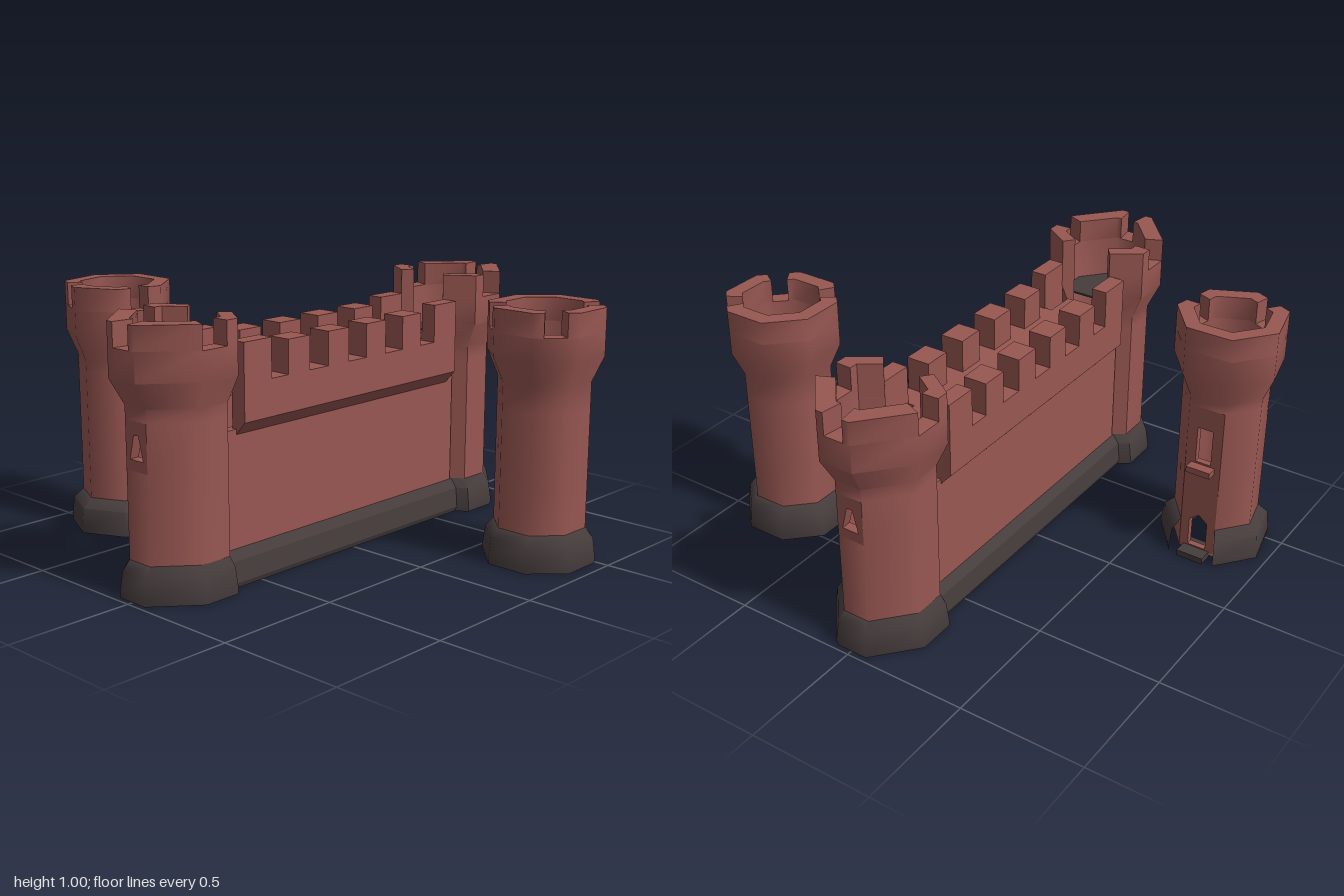
import * as THREE from 'three';
import { toCreasedNormals } from 'three/addons/utils/BufferGeometryUtils.js';

const red = new THREE.MeshStandardMaterial({ color: 0x985752 });
red.name = 'red stone';
const dark = new THREE.MeshStandardMaterial({ color: 0x463c3c });
dark.name = 'dark stone';

function add(parent, name, geometry, material) {
  const mesh = new THREE.Mesh(geometry, material);
  mesh.name = name;
  parent.add(mesh);
  return mesh;
}

// Sweeps a closed profile of [scale, y] around a plan of [x, z] points.
function sweep(plan, profile, closed, skip = () => false) {
  const pos = [], n = plan.length, m = profile.length;
  const put = (i, j) => {
    const p = plan[i % n], q = profile[j % m];
    pos.push(p[0] * q[0], q[1], p[1] * q[0]);
  };
  for (let i = 0; i < (closed ? n : n - 1); i++) {
    for (let j = 0; j < m; j++) {
      if (skip(i, j)) continue;
      put(i, j); put(i + 1, j); put(i + 1, j + 1);
      put(i, j); put(i + 1, j + 1); put(i, j + 1);
    }
  }
  if (!closed) {
    const contour = profile.map(q => new THREE.Vector2(q[0], q[1]));
    for (const [a, b, c] of THREE.ShapeUtils.triangulateShape(contour, [])) {
      put(0, a); put(0, b); put(0, c);
      put(n - 1, a); put(n - 1, c); put(n - 1, b);
    }
  }
  const g = new THREE.BufferGeometry();
  g.setAttribute('position', new THREE.Float32BufferAttribute(pos, 3));
  return toCreasedNormals(g, 0.95);
}

// Piece of a plan between two fractional corner numbers.
function run(plan, from, to) {
  const at = t => {
    const i = Math.floor(t), f = t - i, n = plan.length;
    const a = plan[i % n], b = plan[(i + 1) % n];
    return [a[0] + (b[0] - a[0]) * f, a[1] + (b[1] - a[1]) * f];
  };
  const out = [at(from)];
  for (let i = Math.floor(from) + 1; i < to; i++) out.push(at(i));
  out.push(at(to));
  return out;
}

function shapeOf(points) {
  return new THREE.Shape(points.map(p => new THREE.Vector2(p[0], p[1])));
}

function prism(points, z0, z1, holes = []) {
  const shape = shapeOf(points);
  for (const h of holes) shape.holes.push(new THREE.Path(h.map(p => new THREE.Vector2(p[0], p[1]))));
  const g = new THREE.ExtrudeGeometry(shape, { depth: z1 - z0, bevelEnabled: false });
  return g.translate(0, 0, z0);
}

function tower(name, o) {
  const g = new THREE.Group();
  g.name = name;
  const { plan, closed, face, foot, top } = o;
  const [p0, p1] = o.panel;
  const rim = top - 0.09;
  // Hollow shaft with a flared head
  add(g, 'shaft', sweep(plan, [
    [0.8, 0.01], [0.8, p0], [0.8, p1], [0.8, 0.7], [1, 0.8], [1, rim],
    [0.7, rim], [0.7, 0.74], [0.66, 0.7], [0.66, p1], [0.66, p0], [0.66, 0.01],
  ], closed, (i, j) => o.holes && i === face && (j === 1 || j === 9)), red);
  // Pierced wall panel
  if (o.holes) {
    const w = plan[face + 1][0] * 0.8, z = plan[face][1];
    add(g, 'windowPanel', prism([[-w, p0], [w, p0], [w, p1], [-w, p1]], z * 0.66, z * 0.8, o.holes), red);
  }
  // Dark footing
  add(g, 'footing', sweep(plan, [
    [0.64, 0], [foot - 0.01, 0], [foot, 0.02], [foot - 0.05, 0.1], [0.8, 0.137], [0.64, 0.137],
  ], closed, i => o.door && i === face), dark);
  // Battlements
  for (const [a, b] of o.merlons) {
    add(g, 'merlon', sweep(run(plan, a, b),
      [[1, rim - 0.002], [1, top], [0.7, top], [0.7, rim - 0.002]], false), red);
  }
  // Floor inside the head
  if (o.floor) {
    const floor = new THREE.ExtrudeGeometry(shapeOf(o.floor.map(p => [p[0], -p[1]])),
      { depth: 0.008, bevelEnabled: false });
    add(g, 'floor', floor.rotateX(-Math.PI / 2).translate(0, 0.74, 0), dark);
  }
  return g;
}

function ringPlan(n, r) {
  return Array.from({ length: n }, (_, i) => {
    const a = -Math.PI / 2 + (i - 0.5) * 2 * Math.PI / n;
    return [r * Math.cos(a), -r * Math.sin(a)];
  });
}

export function createModel() {
  const model = new THREE.Group();
  model.name = 'castleWallSet';

  // End towers, open towards the wall
  const cz = 0.72;
  const half = [[0.07, 0.995], [0.22, 0.82], [0.22, 0.66], [0.11, 0.585]].map(p => [p[0], p[1] - cz]);
  const plan = [...half.map(p => [-p[0], p[1]]).reverse(), ...half];
  const inner = plan.slice(1, 7).map(p => [p[0] * 0.71, p[1] * 0.71]);
  for (const s of [1, -1]) {
    const t = tower(s > 0 ? 'frontTower' : 'backTower', {
      plan, closed: false, face: 3, foot: 0.95, top: 1, panel: [0.47, 0.65],
      holes: [[[-0.035, 0.51], [0.035, 0.51], [0.012, 0.6], [-0.012, 0.6]]],
      merlons: [[0, 1.31], [2, 3.21], [3.79, 5], [5.69, 7]],
      floor: [[-0.11, -0.06], ...inner, [0.11, -0.06]],
    });
    t.position.z = s * cz;
    if (s < 0) t.rotation.y = Math.PI;
    model.add(t);
  }

  // Free-standing tower with a floor
  const eight = ringPlan(8, 0.222);
  const rightTower = tower('leftSideTower', {
    plan: eight, closed: true, face: 0, foot: 0.99, top: 0.98, panel: [0.3, 0.6],
    merlons: [[1.75, 3.25], [3.75, 7.25], [7.75, 9.25]],
    floor: eight.map(p => [p[0] * 0.71, p[1] * 0.71]),
  });
  rightTower.position.set(0.745, 0, -0.405);
  model.add(rightTower);

  // Free-standing hollow tower with a door and window at the back
  const gate = tower('rightSideTower', {
    plan: ringPlan(7, 0.213), closed: true, face: 0, foot: 1.04, top: 0.995, panel: [0.02, 0.66], door: true,
    holes: [
      [[-0.038, 0.03], [0.038, 0.03], [0.038, 0.15], [0, 0.18], [-0.038, 0.15]],
      [[-0.032, 0.42], [0.032, 0.42], [0.032, 0.57], [-0.032, 0.57]],
    ],
    merlons: [[3.7, 5.3], [5.7, 10.3]],
  });
  add(gate, 'doorStep', new THREE.BoxGeometry(0.11, 0.025, 0.11), dark).position.set(0, 0.0125, 0.155);
  add(gate, 'windowSill', new THREE.BoxGeometry(0.1, 0.025, 0.07), red).position.set(0, 0.4, 0.16);
  gate.position.set(-0.745, 0, 0.405);
  gate.rotation.y = Math.PI;
  model.add(gate);

  // Hollow curtain wall
  const wall = new THREE.Group();
  wall.name = 'curtainWall';
  model.add(wall);
  add(wall, 'walkway', prism([
    [0.13, 0.56], [0.175, 0.61], [0.175, 0.75], [-0.175, 0.75], [-0.175, 0.61], [-0.13, 0.56],
    [-0.09, 0.56], [-0.09, 0.69], [0.09, 0.69], [0.09, 0.56],
  ], -0.46, 0.46), red);
  for (const e of [1, -1]) {
    add(wall, 'walkwayEnd', new THREE.BoxGeometry(0.16, 0.06, 0.13), red).position.set(0, 0.72, e * 0.52);
  }
  for (const s of [1, -1]) {
    const side = pts => pts.map(p => [p[0] * s, p[1]]);
    add(wall, 'wallSide', prism(side([[0.09, 0.1], [0.13, 0.1], [0.13, 0.58], [0.09, 0.58]]), -0.63, 0.63), red);
    add(wall, 'wallFooting', prism(side([
      [0.085, 0], [0.16, 0], [0.168, 0.02], [0.158, 0.1], [0.13, 0.135], [0.085, 0.135],
    ]), -0.65, 0.65), dark);
    for (const e of [1, -1]) {
      const z = [e * 0.455, e * 0.59].sort((a, b) => a - b);
      add(wall, 'endParapet', prism(side([
        [0.11, 0.56], [0.13, 0.56], [0.175, 0.61], [0.175, 0.9], [0.11, 0.9],
      ]), z[0], z[1]), red);
    }
    for (const z of [-0.315, -0.105, 0.105, 0.315]) {
      add(wall, 'wallMerlon', new THREE.BoxGeometry(0.096, 0.14, 0.11), red).position.set(s * 0.127, 0.81, z);
    }
  }
  return model;
}
